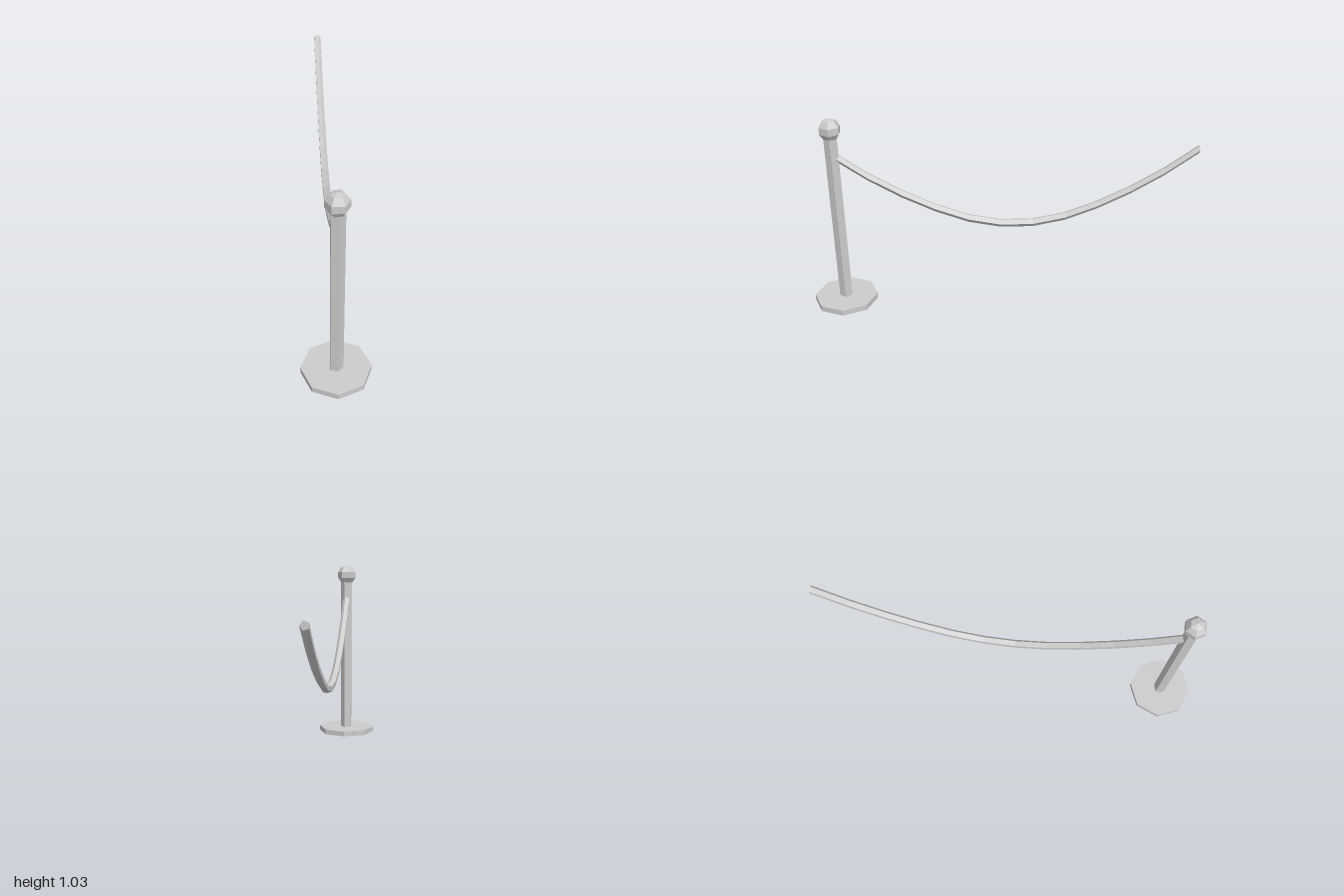
import * as THREE from 'three';

const POST_Z = 0.833;

export function createModel() {
  const group = new THREE.Group();
  const material = new THREE.MeshStandardMaterial({ color: 0xcccccc, flatShading: true });

  const add = (name, geometry, y, z) => {
    const mesh = new THREE.Mesh(geometry, material);
    mesh.name = name;
    mesh.position.set(0, y, z);
    group.add(mesh);
  };

  // Octagonal foot plate
  add('base', new THREE.CylinderGeometry(0.167, 0.167, 0.03, 8), 0.015, POST_Z);

  // Five-sided post, one corner towards +x
  add('post', new THREE.CylinderGeometry(0.035, 0.035, 0.95, 5, 1, false, Math.PI / 2), 0.475, POST_Z);

  // Faceted ball on top
  add('knob', new THREE.SphereGeometry(0.057, 6, 5), 0.976, POST_Z);

  // Sagging rope: a five-sided bar laid along z, each upright section lifted to its height
  const half = [0.445, 0.478, 0.541, 0.623, 0.722, 0.842];
  const heights = [...half].reverse().concat(half);
  const steps = heights.length - 1;
  const length = POST_Z + 1;
  const rope = new THREE.CylinderGeometry(0.0215, 0.0215, length, 5, steps, false, Math.PI / 2);
  rope.rotateX(-Math.PI / 2);
  const p = rope.attributes.position;
  for (let i = 0; i < p.count; i++) {
    const section = Math.round((p.getZ(i) / length + 0.5) * steps);
    p.setY(i, p.getY(i) + heights[section]);
  }
  rope.computeVertexNormals();
  add('rope', rope, 0, (POST_Z - 1) / 2);

  return group;
}
